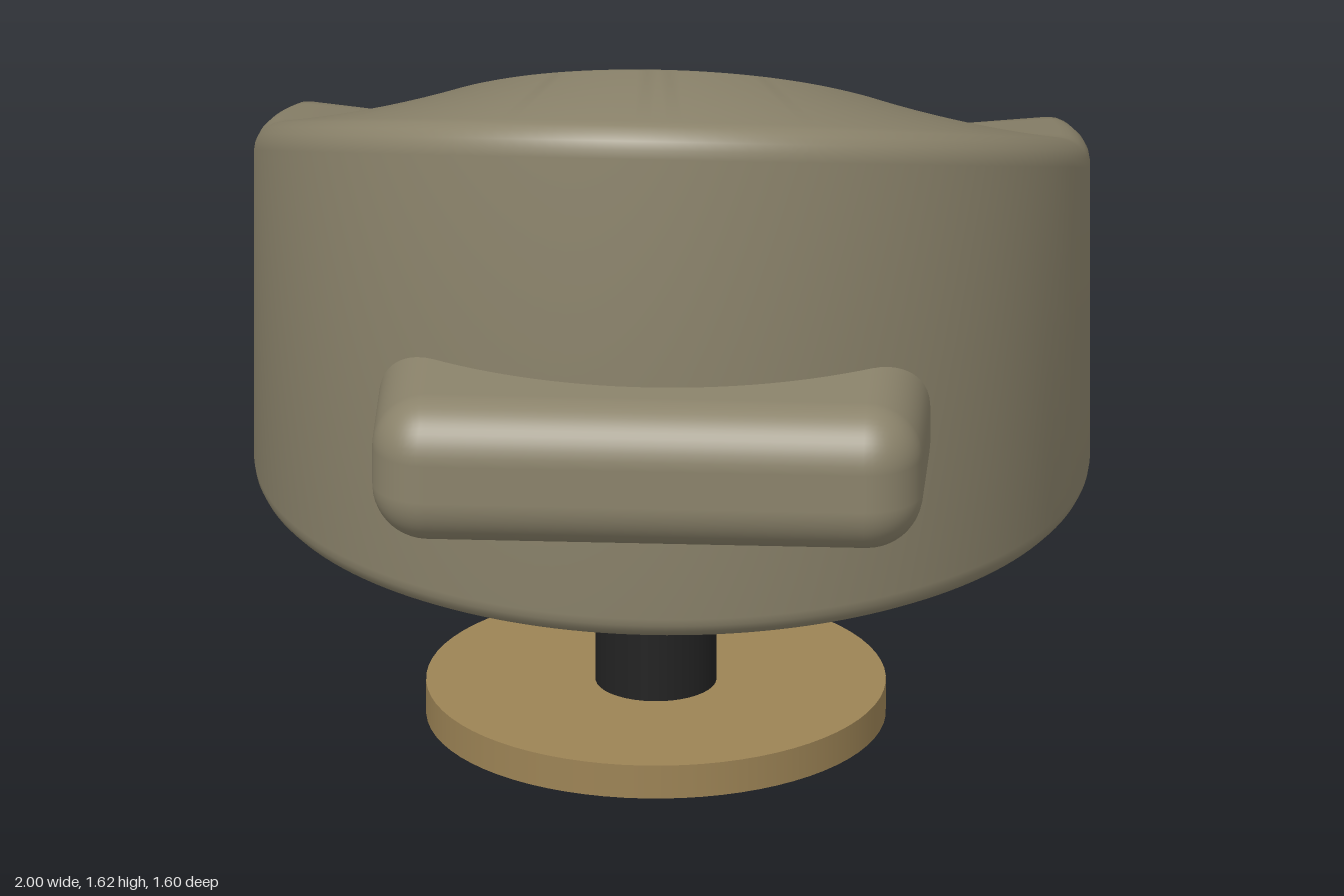
import * as THREE from 'three';
import { toCreasedNormals } from 'three/addons/utils/BufferGeometryUtils.js';
import { RoundedBoxGeometry } from 'three/addons/geometries/RoundedBoxGeometry.js';

const OUTER = 1.0, INNER = 0.58, CENTRE_Z = -0.45;

// Rounded rectangular section, counter-clockwise in (radius, height)
function section(bottom, top) {
  const corners = [
    [OUTER, bottom, 0.06, -1, 1, -Math.PI / 2],
    [OUTER, top, 0.07, -1, -1, 0],
    [INNER, top, 0.03, 1, -1, Math.PI / 2],
    [INNER, bottom, 0.03, 1, 1, Math.PI],
  ];
  const points = [];
  for (const [r, y, round, sr, sy, start] of corners) {
    for (let i = 0; i <= 5; i++) {
      const a = start + (i / 5) * Math.PI / 2;
      points.push([r + round * (sr + Math.cos(a)), y + round * (sy + Math.sin(a))]);
    }
  }
  return points;
}

// Solid wraparound shell: the section swept round an arc, lower toward both ends
function shellGeometry() {
  const steps = 96, positions = [], index = [];
  let count = 0;
  for (let i = 0; i <= steps; i++) {
    const t = (i / steps) * 2 - 1;
    const c = Math.cos(t * 1.95);
    const atEnd = i === 0 || i === steps;
    const top = 1.22 + (c > 0 ? 0.4 : 0.22) * c - (atEnd ? 0.03 : 0);
    const bottom = 0.318 - 0.018 * c + (atEnd ? 0.015 : 0);
    const ring = section(bottom, top);
    count = ring.length;
    for (const [r, y] of ring) {
      // The end faces are turned slightly off the radius
      const end = THREE.MathUtils.degToRad(THREE.MathUtils.mapLinear(r, INNER, OUTER, 113.5, 110.5));
      positions.push(r * Math.sin(t * end), y, r * Math.cos(t * end) + CENTRE_Z);
    }
  }
  for (let i = 0; i < steps; i++) {
    for (let j = 0; j < count; j++) {
      const a = i * count + j, b = i * count + (j + 1) % count;
      index.push(a, a + count, b, b, a + count, b + count);
    }
  }
  // Flat end faces
  const last = steps * count;
  for (let j = 1; j < count - 1; j++) {
    index.push(0, j, j + 1, last, last + j + 1, last + j);
  }
  const geometry = new THREE.BufferGeometry();
  geometry.setAttribute('position', new THREE.Float32BufferAttribute(positions, 3));
  geometry.setIndex(index);
  return toCreasedNormals(geometry, 0.75);
}

export function createModel() {
  const model = new THREE.Group();
  model.name = 'swivelChair';

  const material = (name, color) => {
    const m = new THREE.MeshStandardMaterial({ color });
    m.name = name;
    return m;
  };
  const upholstery = material('taupe upholstery', 0x8b836b);
  const brass = material('brass', 0x9c8355);
  const black = material('black metal', 0x222222);

  const add = (name, geometry, mat, x, y, z) => {
    const mesh = new THREE.Mesh(geometry, mat);
    mesh.name = name;
    mesh.position.set(x, y, z);
    model.add(mesh);
  };

  add('wraparoundShell', shellGeometry(), upholstery, 0, 0, 0);

  // Cushion runs through the shell and projects beyond it
  add('seatCushion', new RoundedBoxGeometry(1.32, 0.365, 1.275, 6, 0.135), upholstery, 0, 0.778, 0.115);

  // Pedestal
  add('post', new THREE.CylinderGeometry(0.145, 0.145, 0.58, 40), black, 0, 0.36, 0.25);
  add('baseDisc', new THREE.CylinderGeometry(0.55, 0.55, 0.085, 72), brass, 0, 0.0425, 0.25);

  return model;
}
